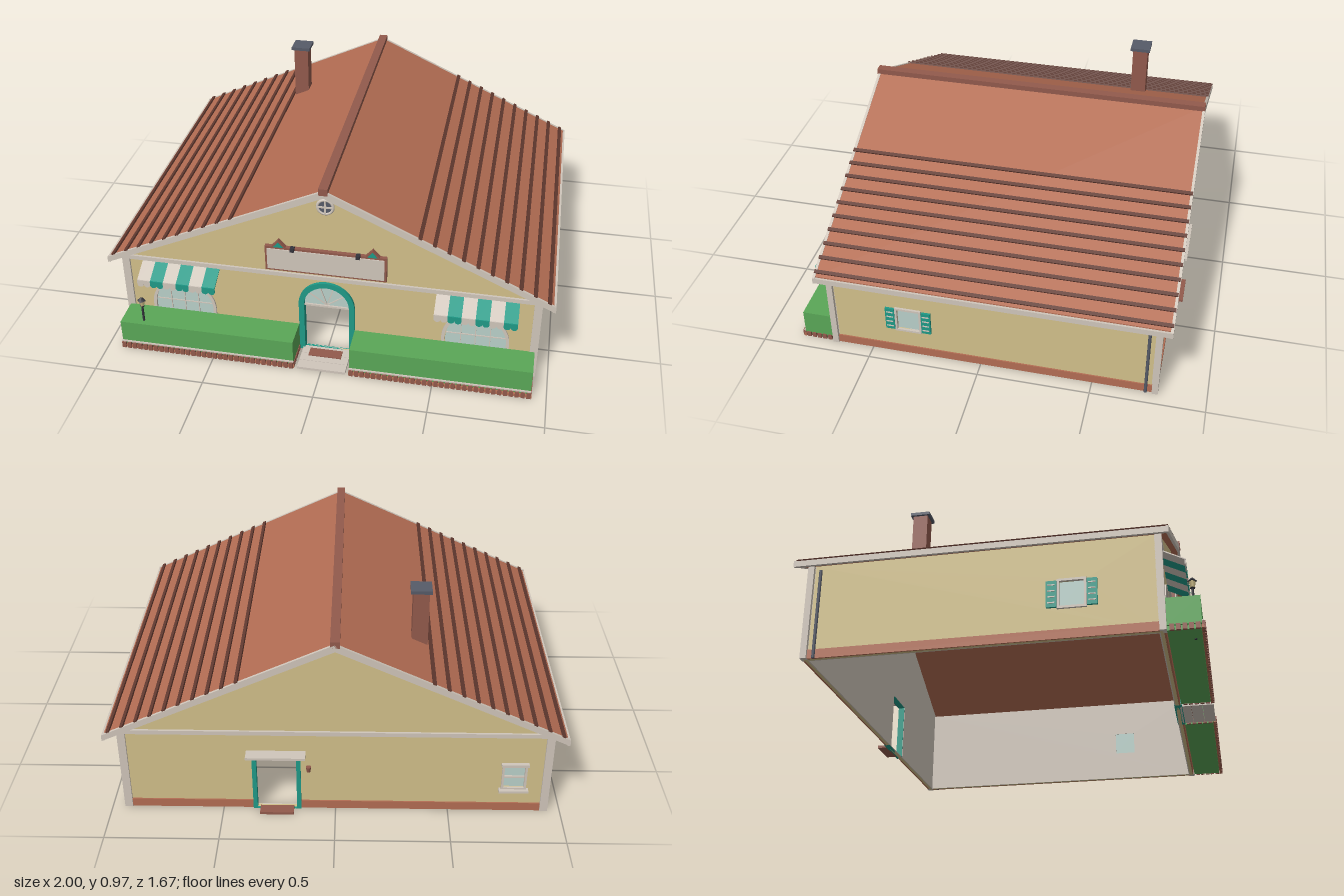
import * as THREE from 'three';

const colours = {
  wall: 0xd2c08a, trim: 0xd0c6bb, roof: 0xb36d53, brick: 0x925a4c, batten: 0x623a30,
  hedge: 0x5aa757, teal: 0x1f9a87, glass: 0xb9d0c9, slate: 0x565b68, iron: 0x34343c,
};
const M = {};

function add(parent, name, geo, mat, x = 0, y = 0, z = 0) {
  const mesh = new THREE.Mesh(geo, mat);
  mesh.name = name;
  mesh.position.set(x, y, z);
  parent.add(mesh);
  return mesh;
}

// Box given by its limits on each axis
function box(parent, name, mat, x0, x1, y0, y1, z0, z1) {
  return add(parent, name, new THREE.BoxGeometry(x1 - x0, y1 - y0, z1 - z0), mat,
    (x0 + x1) / 2, (y0 + y1) / 2, (z0 + z1) / 2);
}

function extrude(shape, depth) {
  return new THREE.ExtrudeGeometry(shape, { depth, bevelEnabled: false, curveSegments: 20 });
}

function poly(points) {
  return new THREE.Shape(points.map(([x, y]) => new THREE.Vector2(x, y)));
}

const rect = (x0, x1, y0, y1) => poly([[x0, y0], [x1, y0], [x1, y1], [x0, y1]]);

// Round-topped opening: centre, half width, sill and springing height
function arch(cx, w, y0, yc) {
  const s = new THREE.Shape();
  s.moveTo(cx - w, y0);
  s.lineTo(cx + w, y0);
  s.lineTo(cx + w, yc);
  s.absarc(cx, yc, w, 0, Math.PI, false);
  s.lineTo(cx - w, y0);
  return s;
}

function withHoles(shape, ...holes) {
  shape.holes.push(...holes);
  return shape;
}

function group(parent, name, x = 0, y = 0, z = 0, ry = 0) {
  const g = new THREE.Group();
  g.name = name;
  g.position.set(x, y, z);
  g.rotation.y = ry;
  parent.add(g);
  return g;
}

// Walls: coloured outside, pale lining inside
function buildWalls(root) {
  const g = group(root, 'walls');
  const gable = () => poly([[-0.93, 0], [0.93, 0], [0.93, 0.425], [0, 0.86], [-0.93, 0.425]]);
  const front = () => withHoles(gable(), arch(0, 0.105, 0.001, 0.26),
    arch(-0.675, 0.14, 0.08, 0.165), arch(0.675, 0.14, 0.08, 0.165));
  const back = () => withHoles(gable(), rect(0.17, 0.35, 0.001, 0.27), rect(-0.83, -0.74, 0.13, 0.24));
  add(g, 'frontWall', extrude(front(), 0.015), M.wall, 0, 0, 0.665);
  add(g, 'frontLining', extrude(front(), 0.005), M.trim, 0, 0, 0.66);
  add(g, 'backWall', extrude(back(), 0.015), M.wall, 0, 0, -0.78);
  add(g, 'backLining', extrude(back(), 0.005), M.trim, 0, 0, -0.765);
  const side = () => withHoles(rect(-0.665, 0.765, 0, 0.425), rect(-0.375, -0.275, 0.14, 0.25));
  for (const [name, mat, x, d] of [['leftWall', M.wall, 0.915, 0.015], ['leftLining', M.trim, 0.91, 0.005],
    ['rightWall', M.wall, -0.93, 0.015], ['rightLining', M.trim, -0.915, 0.005]]) {
    add(g, name, extrude(side(), d), mat, x).rotation.y = Math.PI / 2;
  }
  for (const s of [-1, 1]) {
    const a = s * 0.91, b = s * 0.945;
    const [x0, x1] = [Math.min(a, b), Math.max(a, b)];
    box(g, 'frontCornerPost', M.trim, x0, x1, 0, 0.42, 0.663, 0.69);
    box(g, 'backCornerPost', M.trim, x0, x1, 0, 0.42, -0.79, -0.763);
    box(g, 'sideSkirting', M.roof, s * 0.932 - 0.004, s * 0.932 + 0.004, 0, 0.04, -0.765, 0.665);
    add(g, 'drainpipe', new THREE.CylinderGeometry(0.007, 0.007, 0.4, 10), M.slate, s * 0.938, 0.2, -0.735);
  }
  for (const [x0, x1] of [[-0.91, -0.125], [0.125, 0.91]]) box(g, 'frontSkirting', M.roof, x0, x1, 0, 0.04, 0.678, 0.686);
  for (const [x0, x1] of [[-0.91, 0.155], [0.365, 0.91]]) box(g, 'backSkirting', M.roof, x0, x1, 0, 0.04, -0.786, -0.778);
  box(g, 'frontBand', M.trim, -0.945, 0.945, 0.4, 0.42, 0.678, 0.69);
  box(g, 'backBand', M.trim, -0.945, 0.945, 0.4, 0.42, -0.79, -0.778);
}

// Roof with ridge, battens, bargeboards and chimney
function buildRoof(root) {
  const g = group(root, 'roof');
  const chevron = (w, t, b) => poly([[-w, b - 0.46 * w], [0, b], [w, b - 0.46 * w],
    [w, t - 0.465 * w], [0, t], [-w, t - 0.465 * w]]);
  add(g, 'roofSlab', extrude(chevron(0.99, 0.885, 0.857), 1.53), M.roof, 0, 0, -0.82);
  for (const z of [-0.832, 0.71]) add(g, 'bargeboard', extrude(chevron(1, 0.887, 0.853), 0.012), M.trim, 0, 0, z);
  for (const s of [-1, 1]) {
    box(g, 'eaveFascia', M.trim, s * 0.994 - 0.006, s * 0.994 + 0.006, 0.394, 0.42, -0.83, 0.72);
    for (let i = 0; i < 10; i++) {
      const x = 0.41 + i * 0.0622;
      const b = add(g, 'batten', new THREE.BoxGeometry(0.016, 0.014, 1.55), M.batten, s * x, 0.886 - 0.465 * x, -0.055);
      b.rotation.z = -s * Math.atan(0.465);
    }
  }
  box(g, 'ridgeCap', M.brick, -0.02, 0.02, 0.868, 0.9, -0.832, 0.725);
  box(g, 'chimney', M.brick, -0.397, -0.327, 0.68, 0.957, -0.522, -0.452);
  box(g, 'chimneyCap', M.slate, -0.408, -0.316, 0.957, 0.972, -0.533, -0.441);
}

// Arched entrance with fanlight
function buildEntrance(root) {
  const g = group(root, 'entrance');
  add(g, 'doorFrame', extrude(withHoles(arch(0, 0.127, 0, 0.26), arch(0, 0.102, 0.001, 0.26)), 0.035), M.teal, 0, 0, 0.658);
  add(g, 'fanlight', extrude(arch(0, 0.104, 0.25, 0.26), 0.006), M.glass, 0, 0, 0.668);
  box(g, 'transom', M.trim, -0.104, 0.104, 0.246, 0.255, 0.662, 0.682);
  for (let i = 1; i < 5; i++) {
    const a = i * Math.PI / 5;
    add(g, 'fanBar', new THREE.BoxGeometry(0.1, 0.004, 0.006), M.trim,
      0.052 * Math.cos(a), 0.257 + 0.052 * Math.sin(a), 0.676).rotation.z = a;
  }
  for (let i = 0; i < 3; i++) box(g, 'pathSlab', M.trim, -0.11, 0.11, 0, 0.012, 0.682 + i * 0.051, 0.731 + i * 0.051);
  box(g, 'doorMat', M.brick, -0.075, 0.075, 0.012, 0.016, 0.7, 0.75);
}

// Arched front window under a striped awning
function buildShopWindow(root, cx) {
  const g = group(root, 'archedWindow', cx);
  add(g, 'glass', extrude(arch(0, 0.141, 0.08, 0.165), 0.012), M.glass, 0, 0, 0.662);
  add(g, 'frame', extrude(withHoles(arch(0, 0.15, 0.07, 0.165), arch(0, 0.136, 0.08, 0.165)), 0.012), M.trim, 0, 0, 0.676);
  for (const x of [-0.065, 0, 0.065]) box(g, 'bar', M.trim, x - 0.002, x + 0.002, 0.08, x ? 0.293 : 0.305, 0.673, 0.678);
  box(g, 'crossBar', M.trim, -0.14, 0.14, 0.183, 0.187, 0.673, 0.678);

  const a = group(root, 'awning', cx);
  const profile = poly([[0.68, 0.4], [0.775, 0.35], [0.775, 0.345], [0.68, 0.394]]);
  for (let i = 0; i < 6; i++) {
    const x = -0.18 + i * 0.06, mat = i % 2 ? M.teal : M.trim;
    add(a, 'awningStripe', extrude(profile, 0.06), mat, x + 0.06).rotation.y = -Math.PI / 2;
    // Scalloped valance
    const v = new THREE.Shape();
    v.moveTo(0.06, 0.352);
    v.lineTo(0, 0.352);
    v.lineTo(0, 0.332);
    v.absarc(0.015, 0.332, 0.015, Math.PI, Math.PI * 2, false);
    v.absarc(0.045, 0.332, 0.015, Math.PI, Math.PI * 2, false);
    add(a, 'valance', extrude(v, 0.005), mat, x, 0, 0.771);
  }
}

// Square window facing local +z, optionally with louvred shutters
function buildWindow(root, x, y, z, ry, w, h, shutters) {
  const g = group(root, 'window', x, y, z, ry);
  box(g, 'glass', M.glass, -w, w, -h, h, -0.018, -0.004);
  add(g, 'frame', extrude(withHoles(rect(-w - 0.01, w + 0.01, -h - 0.01, h + 0.01), rect(-w, w, -h, h)), 0.014), M.trim, 0, 0, -0.004);
  if (!shutters) {
    box(g, 'crossBar', M.trim, -w, w, -0.004, 0.004, -0.006, 0.004);
    box(g, 'sill', M.trim, -w - 0.02, w + 0.02, -h - 0.02, -h - 0.008, 0, 0.025);
    box(g, 'lintel', M.trim, -w - 0.015, w + 0.015, h + 0.008, h + 0.02, 0, 0.018);
    return;
  }
  for (const s of [-1, 1]) {
    const c = s * (w + 0.032);
    box(g, 'shutter', M.teal, c - 0.021, c + 0.021, -0.058, 0.058, 0, 0.01);
    for (let i = -1.5; i < 2; i++) box(g, 'louvre', M.trim, c - 0.015, c + 0.015, i * 0.026 - 0.0025, i * 0.026 + 0.0025, 0.009, 0.013);
  }
}

// Sign board with small gabled lamps, and round gable vent
function buildGableDetails(root) {
  const g = group(root, 'signBoard');
  box(g, 'signFrame', M.brick, -0.27, 0.27, 0.437, 0.562, 0.68, 0.698);
  box(g, 'signPanel', M.trim, -0.26, 0.26, 0.447, 0.552, 0.696, 0.703);
  for (const s of [-1, 1]) {
    add(g, 'signGable', extrude(poly([[-0.033, 0], [0.033, 0], [0, 0.038]]), 0.02), M.brick, s * 0.208, 0.56, 0.68);
    add(g, 'signGableFace', extrude(poly([[-0.022, 0.003], [0.022, 0.003], [0, 0.029]]), 0.004), M.teal, s * 0.208, 0.56, 0.699);
    box(g, 'signLamp', M.iron, s * 0.145 - 0.009, s * 0.145 + 0.009, 0.553, 0.57, 0.69, 0.715);
  }
  const v = group(root, 'gableVent', 0, 0.785, 0.68);
  add(v, 'ventRing', new THREE.TorusGeometry(0.034, 0.007, 8, 28), M.trim);
  add(v, 'ventDisc', new THREE.CircleGeometry(0.033, 28), M.slate, 0, 0, 0.003);
  box(v, 'ventBar', M.trim, -0.033, 0.033, -0.004, 0.004, 0, 0.007);
  box(v, 'ventBar', M.trim, -0.004, 0.004, -0.033, 0.033, 0, 0.007);
}

// Hedges with brick edging, and the lamp post
function buildGarden(root) {
  for (const s of [-1, 1]) {
    const g = group(root, 'hedgeBed', s * 0.53);
    box(g, 'hedge', M.hedge, -0.402, 0.402, 0.022, 0.14, 0.688, 0.825);
    box(g, 'bed', M.hedge, -0.395, 0.395, 0.002, 0.024, 0.69, 0.82);
    box(g, 'edgingBase', M.roof, -0.406, 0.406, 0, 0.014, 0.822, 0.832);
    for (let i = 0; i < 32; i++) {
      const x = -0.394 + i * 0.0254;
      box(g, 'edgingBrick', M.brick, x - 0.009, x + 0.009, 0, 0.03, 0.824, 0.838);
    }
    box(g, 'edgingRail', M.trim, -0.404, 0.404, 0.03, 0.036, 0.825, 0.832);
    for (const e of [-1, 1]) for (let i = 0; i < 5; i++) {
      box(g, 'endBrick', M.brick, e * 0.4 - 0.006, e * 0.4 + 0.006, 0, 0.026, 0.7 + i * 0.025, 0.718 + i * 0.025);
    }
  }
  const l = group(root, 'lampPost', -0.83, 0, 0.795);
  add(l, 'post', new THREE.CylinderGeometry(0.005, 0.006, 0.225, 10), M.iron, 0, 0.1125, 0);
  add(l, 'lantern', new THREE.CylinderGeometry(0.014, 0.009, 0.03, 4), M.wall, 0, 0.238, 0);
  add(l, 'lanternBase', new THREE.CylinderGeometry(0.012, 0.008, 0.006, 4), M.iron, 0, 0.222, 0);
  add(l, 'lanternCap', new THREE.CylinderGeometry(0.004, 0.021, 0.016, 4), M.iron, 0, 0.261, 0);
}

// Back door with hood, step and wall lamp
function buildBackDoor(root) {
  const g = group(root, 'backDoor', 0.26, 0, -0.78, Math.PI);
  const frame = withHoles(rect(-0.107, 0.107, 0, 0.287), rect(-0.088, 0.088, 0.001, 0.268));
  add(g, 'backDoorFrame', extrude(frame, 0.03), M.teal, 0, 0, -0.018);
  box(g, 'hood', M.trim, -0.13, 0.13, 0.3, 0.312, 0, 0.055);
  box(g, 'hoodMoulding', M.slate, -0.118, 0.118, 0.287, 0.3, 0, 0.03);
  box(g, 'backStep', M.brick, -0.075, 0.075, 0, 0.012, 0.005, 0.055);
  box(g, 'wallLampBracket', M.iron, 0.137, 0.147, 0.21, 0.22, 0, 0.02);
  add(g, 'wallLamp', new THREE.CylinderGeometry(0.012, 0.008, 0.026, 8), M.brick, 0.142, 0.225, 0.016);
}

export function createModel() {
  for (const [name, color] of Object.entries(colours)) {
    M[name] = new THREE.MeshStandardMaterial({ color });
    M[name].name = name;
  }
  const root = new THREE.Group();
  root.name = 'gabledRestaurant';
  buildWalls(root);
  buildRoof(root);
  buildEntrance(root);
  for (const s of [-1, 1]) {
    buildShopWindow(root, s * 0.668);
    buildWindow(root, s * 0.93, 0.195, 0.325, s * Math.PI / 2, 0.05, 0.055, true);
  }
  buildWindow(root, -0.785, 0.185, -0.78, Math.PI, 0.045, 0.055, false);
  buildGableDetails(root);
  buildGarden(root);
  buildBackDoor(root);
  return root;
}
